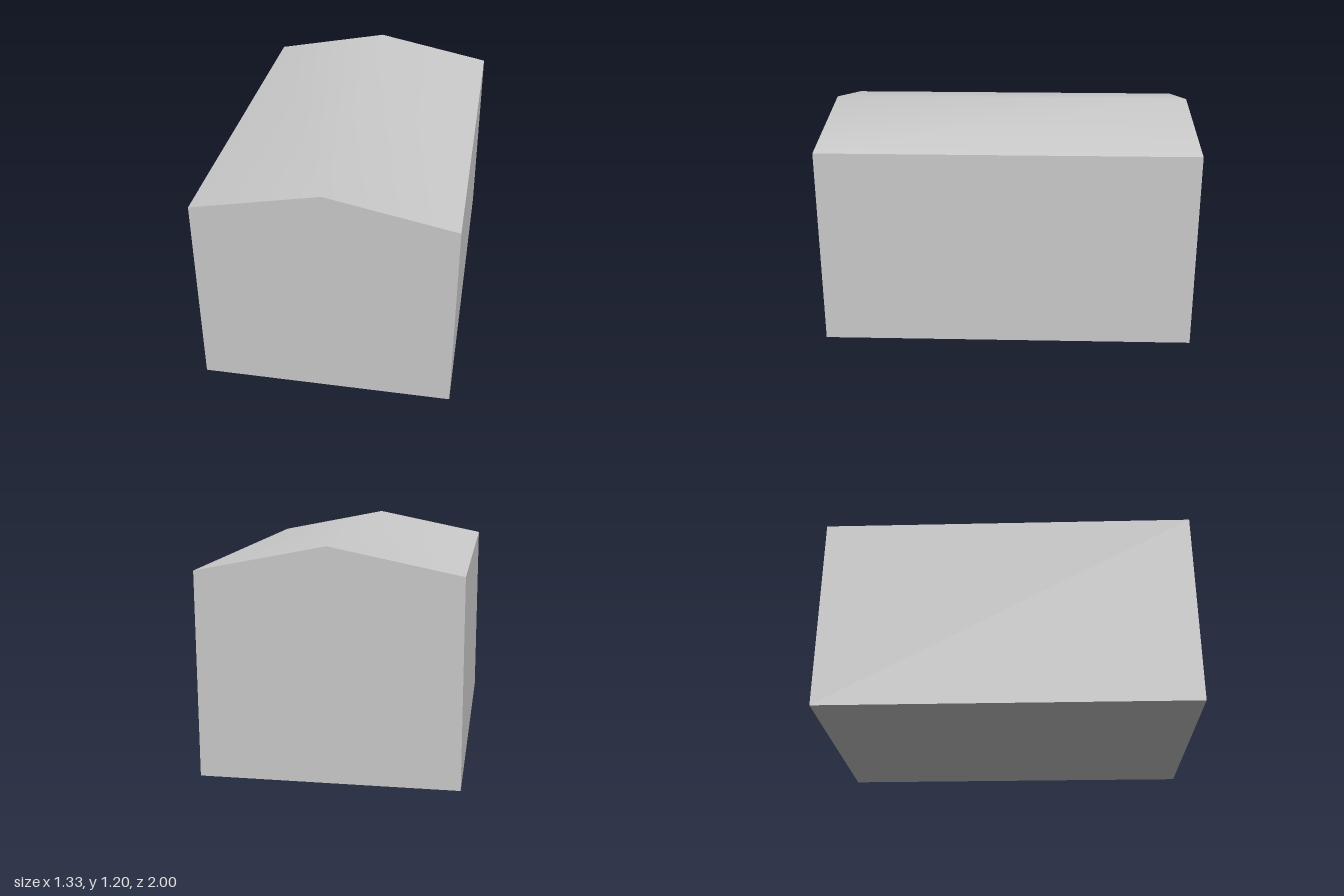
import * as THREE from 'three';
import { toCreasedNormals } from 'three/addons/utils/BufferGeometryUtils.js';

const HALF_WIDTH = 0.667, EAVE = 1.067, RIDGE = 1.2, LENGTH = 2;

export function createModel() {
  const group = new THREE.Group();
  group.name = 'gabledBlock';

  // Gable-end outline, counter-clockwise from the bottom
  const gable = new THREE.Shape([
    new THREE.Vector2(-HALF_WIDTH, 0),
    new THREE.Vector2(HALF_WIDTH, 0),
    new THREE.Vector2(HALF_WIDTH, EAVE),
    new THREE.Vector2(0, RIDGE),
    new THREE.Vector2(-HALF_WIDTH, EAVE),
  ]);

  // Run the gable front to back
  const geometry = new THREE.ExtrudeGeometry(gable, { depth: LENGTH, bevelEnabled: false });
  geometry.translate(0, 0, -LENGTH / 2);

  // The shallow ridge is shaded smooth; eaves, corners and base stay sharp
  const body = new THREE.Mesh(
    toCreasedNormals(geometry, 0.6),
    new THREE.MeshStandardMaterial({ color: 0xcccccc })
  );
  body.name = 'body';
  group.add(body);
  return group;
}
